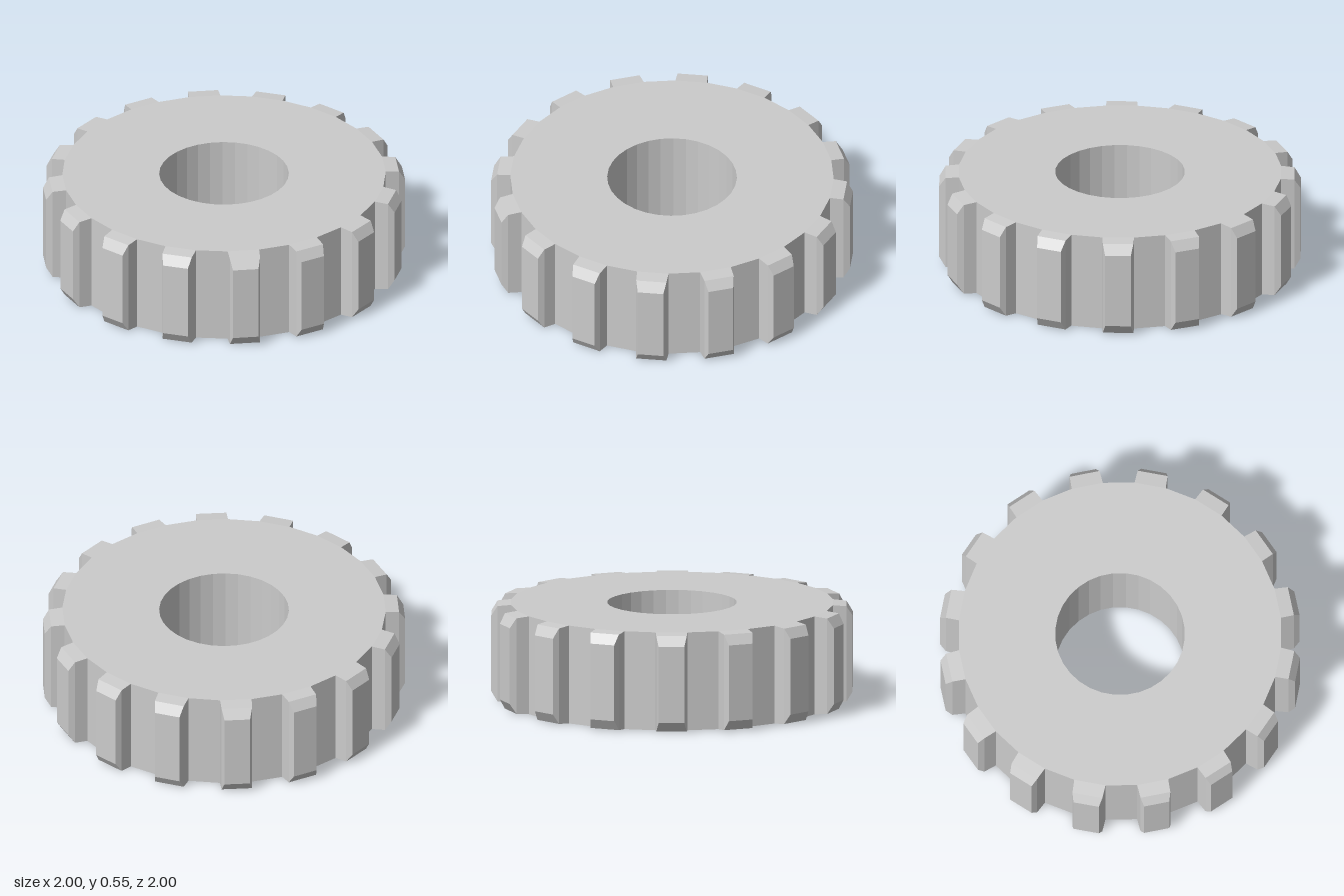
import * as THREE from 'three';

const SIDES = 32, TEETH = 16;
const BODY_R = 0.893, BORE_R = 0.358, HEIGHT = 0.55;
const STEP = (Math.PI * 2) / SIDES;

const ring = (r) => Array.from({ length: SIDES }, (_, i) =>
  new THREE.Vector2(r * Math.cos(i * STEP), r * Math.sin(i * STEP)));

// Lofts rectangular loops [halfWidth, halfHeight, distance] along +z and caps the last one
function toothGeometry(loops) {
  const corners = loops.map(([w, h, d]) => [[-w, -h, d], [w, -h, d], [w, h, d], [-w, h, d]]);
  const positions = [];
  const quad = (a, b, c, d) => positions.push(...a, ...b, ...c, ...a, ...c, ...d);
  for (let k = 0; k < corners.length - 1; k++) {
    for (let i = 0; i < 4; i++) {
      const j = (i + 1) % 4;
      quad(corners[k][i], corners[k][j], corners[k + 1][j], corners[k + 1][i]);
    }
  }
  quad(...corners[corners.length - 1]);
  const geometry = new THREE.BufferGeometry();
  geometry.setAttribute('position', new THREE.Float32BufferAttribute(positions, 3));
  geometry.computeVertexNormals();
  return geometry;
}

export function createModel() {
  const group = new THREE.Group();
  group.name = 'gear';
  const material = new THREE.MeshStandardMaterial({ color: 0xcccccc, flatShading: true });

  // Faceted disc with a round bore
  const outline = new THREE.Shape(ring(BODY_R));
  outline.holes.push(new THREE.Path(ring(BORE_R).reverse()));
  const bodyGeometry = new THREE.ExtrudeGeometry(outline, { depth: HEIGHT, bevelEnabled: false });
  bodyGeometry.rotateX(-Math.PI / 2);
  const body = new THREE.Mesh(bodyGeometry, material);
  body.name = 'gearBody';
  group.add(body);

  // Chamfered teeth standing on every other facet
  const half = HEIGHT / 2;
  const geometry = toothGeometry([
    [BODY_R * Math.sin(STEP / 2), half, BODY_R * Math.cos(STEP / 2)],
    [0.084, half - 0.007, 0.963],
    [0.071, half - 0.062, 0.9975],
  ]);
  const teeth = new THREE.Group();
  teeth.name = 'teeth';
  for (let k = 0; k < TEETH; k++) {
    const tooth = new THREE.Mesh(geometry, material);
    tooth.name = 'tooth';
    tooth.position.y = half;
    tooth.rotation.y = Math.PI / 2 - (2 * k + 0.5) * STEP;
    teeth.add(tooth);
  }
  group.add(teeth);

  return group;
}
